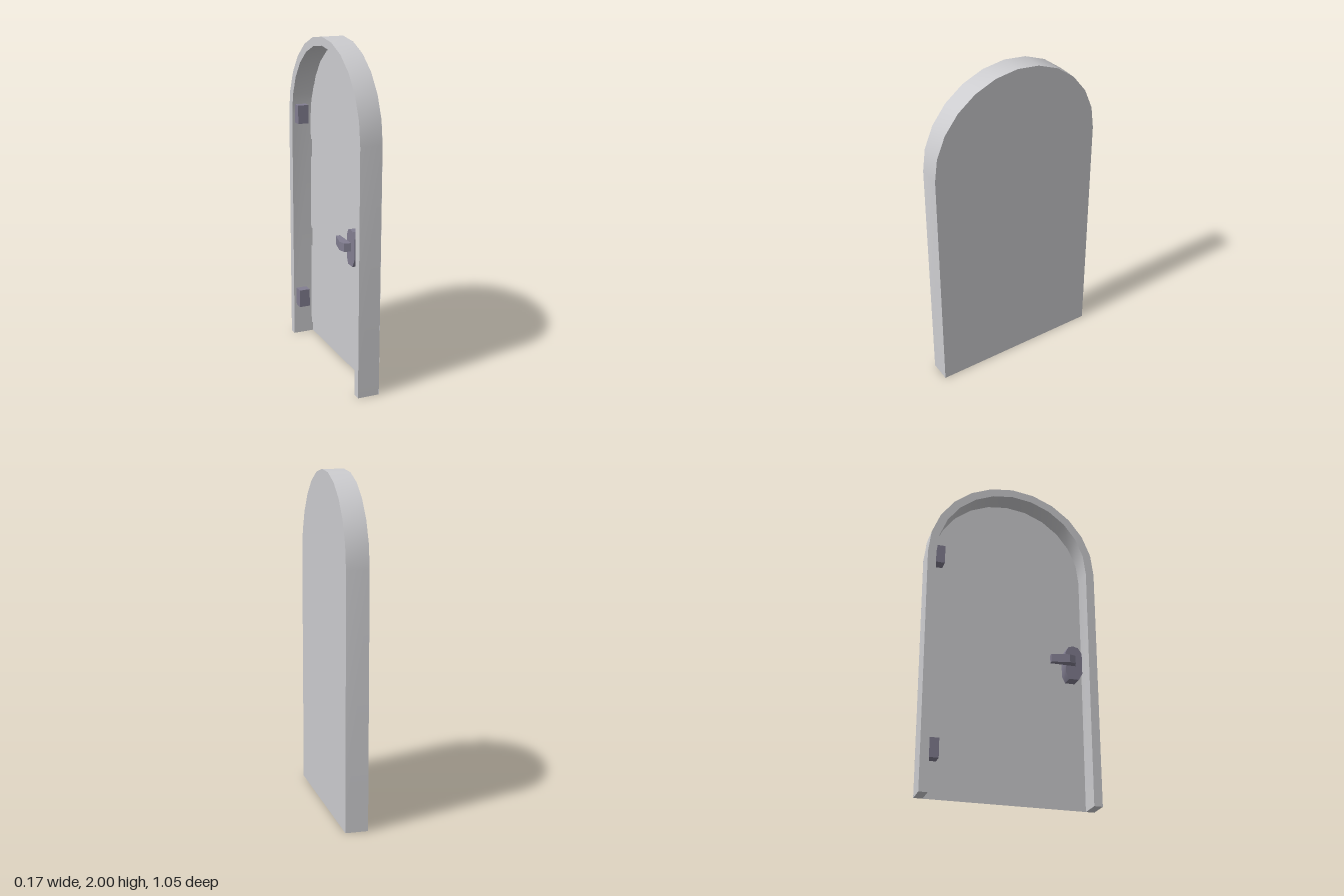
import * as THREE from 'three';
import { toCreasedNormals } from 'three/addons/utils/BufferGeometryUtils.js';

const FRONT = -0.047, BACK = 0.085, PANEL = 0.039, HALF = 0.527, INNER = 0.476, SPRING = 1.473;

const vectors = pts => pts.map(p => new THREE.Vector2(...p));

// Closed outline: straight sides with a twelve-segment round arch on top
function archPoints(radius, bottom) {
  const pts = [[-radius, bottom], [radius, bottom]];
  for (let i = 0; i <= 12; i++) {
    const a = (i / 12) * Math.PI;
    pts.push([Math.cos(a) * radius, SPRING + Math.sin(a) * radius]);
  }
  return pts;
}

const rectPoints = (h, y0, y1) => [[-h, y0], [h, y0], [h, y1], [-h, y1]];

// Extrude a (-z, y) outline along x from x0 to x1
function extrudeX(outline, x0, x1) {
  const geo = new THREE.ExtrudeGeometry(new THREE.Shape(vectors(outline)), { depth: x1 - x0, bevelEnabled: false });
  geo.rotateY(Math.PI / 2).translate(x0, 0, 0);
  return toCreasedNormals(geo, 0.5);
}

// Flat sheet with a (-z, y) outline at a given x
function sheetX(outline, x) {
  return new THREE.ShapeGeometry(new THREE.Shape(vectors(outline))).rotateY(Math.PI / 2).translate(x, 0, 0);
}

export function createModel() {
  const root = new THREE.Group();
  root.name = 'archedDoor';
  const grey = new THREE.MeshStandardMaterial({ name: 'paleGrey', color: 0xcccccf, side: THREE.DoubleSide });
  const metal = new THREE.MeshStandardMaterial({ name: 'purpleGreyMetal', color: 0x827e91 });

  const add = (name, geo, mat, parent = root) => {
    const mesh = new THREE.Mesh(geo, mat);
    mesh.name = name;
    parent.add(mesh);
    return mesh;
  };

  // Frame: arched band, open at the bottom between the jambs
  const outer = archPoints(HALF, 0).slice(1);
  const inner = archPoints(INNER, 0).slice(1).reverse();
  add('frame', extrudeX([...outer, [-HALF, 0], [-INNER, 0], ...inner], FRONT, BACK - 0.0005), grey);

  // Leaf: a single sheet closing the back of the frame
  add('leaf', sheetX(archPoints(HALF, 0), BACK), grey);

  // Panels: two rectangles and an arch standing forward of the leaf
  const panels = {
    lowerPanel: rectPoints(0.385, 0.104, 0.634),
    middlePanel: rectPoints(0.385, 0.75, 1.215),
    upperPanel: archPoints(0.385, 1.327),
  };
  for (const [name, outline] of Object.entries(panels)) add(name, sheetX(outline, PANEL), grey);

  // Hinges on one jamb
  for (const [name, y] of [['lowerHinge', 0.26], ['upperHinge', 1.475]]) {
    const hinge = add(name, new THREE.BoxGeometry(0.069, 0.115, 0.06), metal);
    hinge.position.set(0.0045, y, -0.448);
  }

  // Handle: rounded plate and lever
  const handle = new THREE.Group();
  handle.name = 'handle';
  root.add(handle);
  const plate = [[-0.412, 0.76], [-0.352, 0.76], [-0.333, 0.80], [-0.333, 0.93], [-0.352, 0.965],
    [-0.382, 0.973], [-0.412, 0.965], [-0.435, 0.93], [-0.435, 0.80]];
  add('handlePlate', extrudeX(plate, -0.035, PANEL), metal, handle);

  const lever = new THREE.Shape(vectors([[-0.035, -0.392], [-0.035, -0.235], [-0.06, -0.235], [-0.085, -0.342], [-0.073, -0.381]]));
  const leverGeo = new THREE.ExtrudeGeometry(lever, { depth: 0.05, bevelEnabled: false });
  leverGeo.rotateX(-Math.PI / 2).translate(0, 0.845, 0);
  add('handleLever', leverGeo, metal, handle);

  return root;
}
